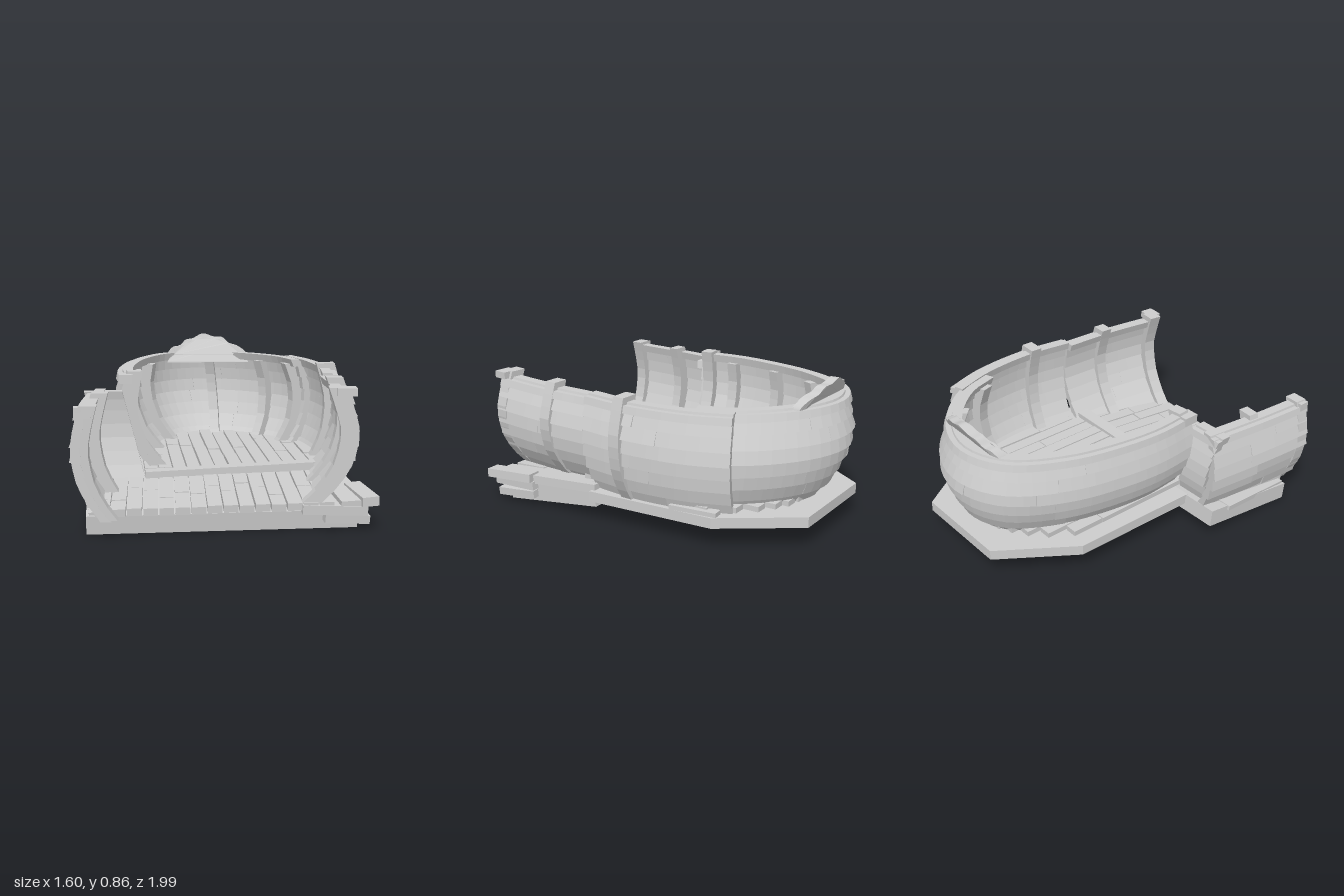
import * as THREE from 'three';

let seed = 7;
const rnd = () => (seed = (seed * 16807) % 2147483647) / 2147483647;
const wood = new THREE.MeshStandardMaterial({ color: 0xcccccc, flatShading: true });
wood.name = 'grey wood';

function add(parent, name, geo) {
  const m = new THREE.Mesh(geo, wood);
  m.name = name;
  parent.add(m);
  return m;
}

function box(parent, name, size, pos, rot = [0, 0, 0]) {
  const m = add(parent, name, new THREE.BoxGeometry(...size));
  m.position.set(...pos);
  m.rotation.set(...rot);
  return m;
}

// Solid four-cornered bar swept through the cross-sections given by fn(0..1)
function sweep(fn, n) {
  const pts = [], idx = [];
  for (let i = 0; i <= n; i++) pts.push(...fn(i / n));
  for (let i = 0; i < n; i++) for (let k = 0; k < 4; k++) {
    const a = i * 4 + k, b = i * 4 + (k + 1) % 4;
    idx.push(a, b, b + 4, a, b + 4, a + 4);
  }
  const e = n * 4;
  idx.push(0, 2, 1, 0, 3, 2, e, e + 1, e + 2, e, e + 2, e + 3);
  let vol = 0;
  const c = new THREE.Vector3();
  for (let i = 0; i < idx.length; i += 3) {
    vol += pts[idx[i]].dot(c.crossVectors(pts[idx[i + 1]], pts[idx[i + 2]]));
  }
  if (vol < 0) idx.reverse();
  const g = new THREE.BufferGeometry().setFromPoints(pts);
  g.setIndex(idx);
  g.computeVertexNormals();
  return g;
}

// Inward distance of the bulging hull side at each height
const PROFILE = [[0.1, 0.25], [0.17, 0.19], [0.25, 0.11], [0.35, 0.04], [0.48, 0], [0.58, 0], [0.68, 0.03], [0.78, 0.065]];
function inset(y) {
  for (let i = 1; i < PROFILE.length; i++) {
    const [y0, d0] = PROFILE[i - 1], [y1, d1] = PROFILE[i];
    if (y <= y1) return d0 + (d1 - d0) * (y - y0) / (y1 - y0);
  }
  return 0.065;
}

// Curved wall with overlapping strakes, a rail and ribs along a plan path
function wall(parent, name, plan, o) {
  const g = new THREE.Group();
  g.name = name;
  parent.add(g);
  const { lean = 0, drop = 0, k = 1, segs = 10, joints = 2, ribs = [], rows = 7 } = o;
  const curve = new THREE.CatmullRomCurve3(plan.map(([x, z]) => new THREE.Vector3(x, 0, z)));
  const at = (u, y, t, along = 0) => {
    const p = curve.getPointAt(u), d = curve.getTangentAt(u), off = inset(y) * k + t;
    return new THREE.Vector3(p.x - d.z * off + d.x * along - lean * (y - 0.5), y - drop, p.z + d.x * off + d.z * along);
  };
  const y0 = 0.17, h = (0.71 - y0) / rows;
  for (let r = 0; r < rows; r++) {
    let u = 0;
    for (let j = 0; j < joints; j++) {
      const v = j === joints - 1 ? 1 : (j + 0.7 + rnd() * 0.6) / joints;
      const a = u, b = v - (v < 1 ? 0.0005 : 0), out = 0.008 + rnd() * 0.012;
      const lo = y0 + r * h - 0.006, hi = y0 + (r + 1) * h + 0.004;
      add(g, 'strake', sweep(s => {
        const w = a + (b - a) * s;
        return [at(w, lo, -out), at(w, hi, 0.002), at(w, hi, 0.032), at(w, lo, 0.044)];
      }, Math.max(2, Math.round(segs * (b - a)))));
      u = v;
    }
  }
  // Rail in two steps
  for (const [lo, hi, t0, t1] of [[0.69, 0.73, -0.02, 0.03], [0.695, 0.742, 0.01, 0.068]]) {
    add(g, 'rail', sweep(u => [at(u, lo, t0), at(u, hi, t0), at(u, hi, t1), at(u, lo, t1)], segs));
  }
  // Ribs: [position, outer depth, inner depth, width, top]
  for (const [u, t0, t1, w, top] of ribs) {
    add(g, 'rib', sweep(s => {
      const y = 0.17 + (top - 0.17) * s;
      return [at(u, y, t0, -w / 2), at(u, y, t0, w / 2), at(u, y, t1, w / 2), at(u, y, t1, -w / 2)];
    }, 9));
  }
  return g;
}

// Flat slab cut from a plan outline of [x, z] points
function slab(outline, thick) {
  const s = new THREE.Shape(outline.map(([x, z]) => new THREE.Vector2(x, -z)));
  return new THREE.ExtrudeGeometry(s, { depth: thick, bevelEnabled: false }).rotateX(-Math.PI / 2);
}

// Scalloped board bent around the bow
function crest(pts, depth, zOff) {
  const s = new THREE.Shape();
  s.moveTo(...pts[0]);
  s.splineThru(pts.slice(1).map(p => new THREE.Vector2(...p)));
  s.closePath();
  const geo = new THREE.ExtrudeGeometry(s, { depth, bevelEnabled: false, curveSegments: 40 });
  const p = geo.attributes.position;
  for (let i = 0; i < p.count; i++) {
    const x = p.getX(i), y = p.getY(i);
    p.setZ(i, p.getZ(i) + zOff + 0.75 * (x - 0.06) ** 2 - 0.25 * (y - 0.7));
  }
  geo.computeVertexNormals();
  return geo;
}

export function createModel() {
  const model = new THREE.Group();
  model.name = 'brokenShipBow';

  // Base slabs
  add(model, 'rearBase', slab([[-0.5, 0.26], [-0.49, -0.53], [-0.2, -0.95], [0.4, -0.95], [0.69, -0.52], [0.73, 0.26]], 0.06)).position.y = 0.12;
  box(model, 'frontBase', [1.42, 0.1, 0.64], [-0.01, 0.09, 0.56], [0.125, 0, 0]);

  // Hull walls
  wall(model, 'bowHull', [[-0.52, 0.25], [-0.54, 0], [-0.515, -0.25], [-0.44, -0.55], [-0.28, -0.83], [-0.12, -0.94],
    [0.06, -0.975], [0.25, -0.93], [0.45, -0.8], [0.62, -0.6], [0.69, -0.4]], {
    lean: 0.1, k: 0.88, segs: 34, joints: 3,
    ribs: [[0.016, 0.01, 0.095, 0.07, 0.76], [0.09, 0.03, 0.095, 0.06, 0.7], [0.23, 0.03, 0.095, 0.06, 0.7],
      [0.37, 0.03, 0.11, 0.06, 0.7], [0.35 + 0.3, 0.03, 0.11, 0.06, 0.71], [0.83, 0.03, 0.1, 0.06, 0.7], [0.97, 0.03, 0.1, 0.07, 0.71]],
  });
  wall(model, 'leftJogHull', [[-0.67, 0.24], [-0.56, 0.24], [-0.46, 0.24]], { lean: 0.25, drop: 0.08, k: 0.6, segs: 4, joints: 1 });
  wall(model, 'rightFrontHull', [[0.73, 0.28], [0.715, 0.6], [0.665, 0.97]], {
    drop: 0.015, segs: 8, ribs: [[0.4, -0.022, 0.07, 0.07, 0.775], [0.955, -0.01, 0.085, 0.075, 0.775]],
  });
  wall(model, 'rightSideHull', [[0.66, -0.62], [0.735, -0.4], [0.77, -0.15], [0.77, 0.05], [0.74, 0.28]], {
    lean: 0.05, k: 0.65, segs: 12, ribs: [[0.72, -0.03, 0.08, 0.07, 0.77]],
  });
  wall(model, 'leftFrontHull', [[-0.78, 0.95], [-0.755, 0.6], [-0.715, 0.24]], {
    drop: 0.075, k: 0.75, segs: 8, ribs: [[0.05, -0.01, 0.08, 0.07, 0.76], [0.54, 0.02, 0.11, 0.06, 0.77]],
  });

  // Rail end blocks
  box(model, 'railBlock', [0.075, 0.05, 0.09], [-0.5, 0.72, 0.22]);
  box(model, 'railBlock', [0.1, 0.045, 0.06], [-0.72, 0.655, 0.92]);
  box(model, 'railBlock', [0.1, 0.04, 0.08], [0.61, 0.74, 0.95], [0, -0.1, 0]);

  // Bow crest with a raised scalloped panel
  const arch = [[-0.2, 0.68], [-0.2, 0.73], [-0.16, 0.775], [-0.11, 0.785], [-0.07, 0.82], [-0.02, 0.83], [0.05, 0.86], [0.12, 0.84],
    [0.18, 0.835], [0.22, 0.8], [0.28, 0.78], [0.33, 0.74], [0.34, 0.68]];
  add(model, 'crestBoard', crest(arch, 0.05, -0.89));
  add(model, 'crestPanel', crest(arch.map(([x, y]) => [0.06 + (x - 0.06) * 0.82, 0.73 + (y - 0.68) * 0.62]), 0.015, -0.84));

  // Rear deck: boards along z, cut to the bow curve
  const rear = new THREE.Group();
  rear.name = 'rearDeck';
  model.add(rear);
  const n = 13, w = 1.06 / n;
  for (let i = 0; i < n; i++) {
    const x = -0.4 + (i + 0.5) * w;
    const end = -0.82 * Math.pow(1 - Math.min(1, Math.abs((x - 0.12) / 0.62)) ** 2.4, 0.6);
    const cut = end + (0.3 - end) * (0.25 + rnd() * 0.5);
    for (const [a, b] of [[end, cut], [cut, 0.3]]) {
      box(rear, 'deckBoard', [w - 0.009, 0.03, b - a - 0.008], [x, 0.195 + rnd() * 0.006, (a + b) / 2], [0, 0, 0.01]);
    }
  }

  // Front deck: slightly sloping, skewed boards
  const front = new THREE.Group();
  front.name = 'frontDeck';
  front.position.set(0, 0.162, 0.34);
  front.rotation.set(0.06, 0, 0.025);
  model.add(front);
  for (let i = 0; i < 15; i++) {
    const x = -0.61 + i * 0.083, len = 0.56 + i * 0.004, cut = len * (0.25 + rnd() * 0.5);
    for (const [a, b] of [[0, cut], [cut, len]]) {
      box(front, 'deckBoard', [0.075, 0.04, b - a - 0.007], [x - (a + b) * 0.025, rnd() * 0.006, (a + b) / 2], [0, -0.05, 0]);
    }
  }
  box(model, 'crossBeam', [1.02, 0.045, 0.08], [0.115, 0.203, 0.335], [0, 0.01, 0.035]);

  // Splintered timbers under the sides
  box(model, 'looseTimber', [0.09, 0.05, 0.3], [0.73, 0.17, 0.83], [0.03, 0.1, 0.05]);
  box(model, 'looseTimber', [0.14, 0.05, 0.72], [0.65, 0.165, 0.6], [0.06, 0.04, 0.03]);
  box(model, 'looseTimber', [0.34, 0.05, 0.3], [0.57, 0.125, 0.81], [0.05, -0.04, -0.03]);
  box(model, 'looseTimber', [0.24, 0.045, 0.26], [0.63, 0.07, 0.8], [0.08, 0.05, -0.06]);
  box(model, 'looseTimber', [0.12, 0.03, 0.5], [-0.66, 0.13, 0.62], [0.1, 0.06, 0.05]);
  box(model, 'looseTimber', [0.06, 0.03, 0.28], [0.66, 0.19, -0.4], [0, 0.1, 0]);
  return model;
}
